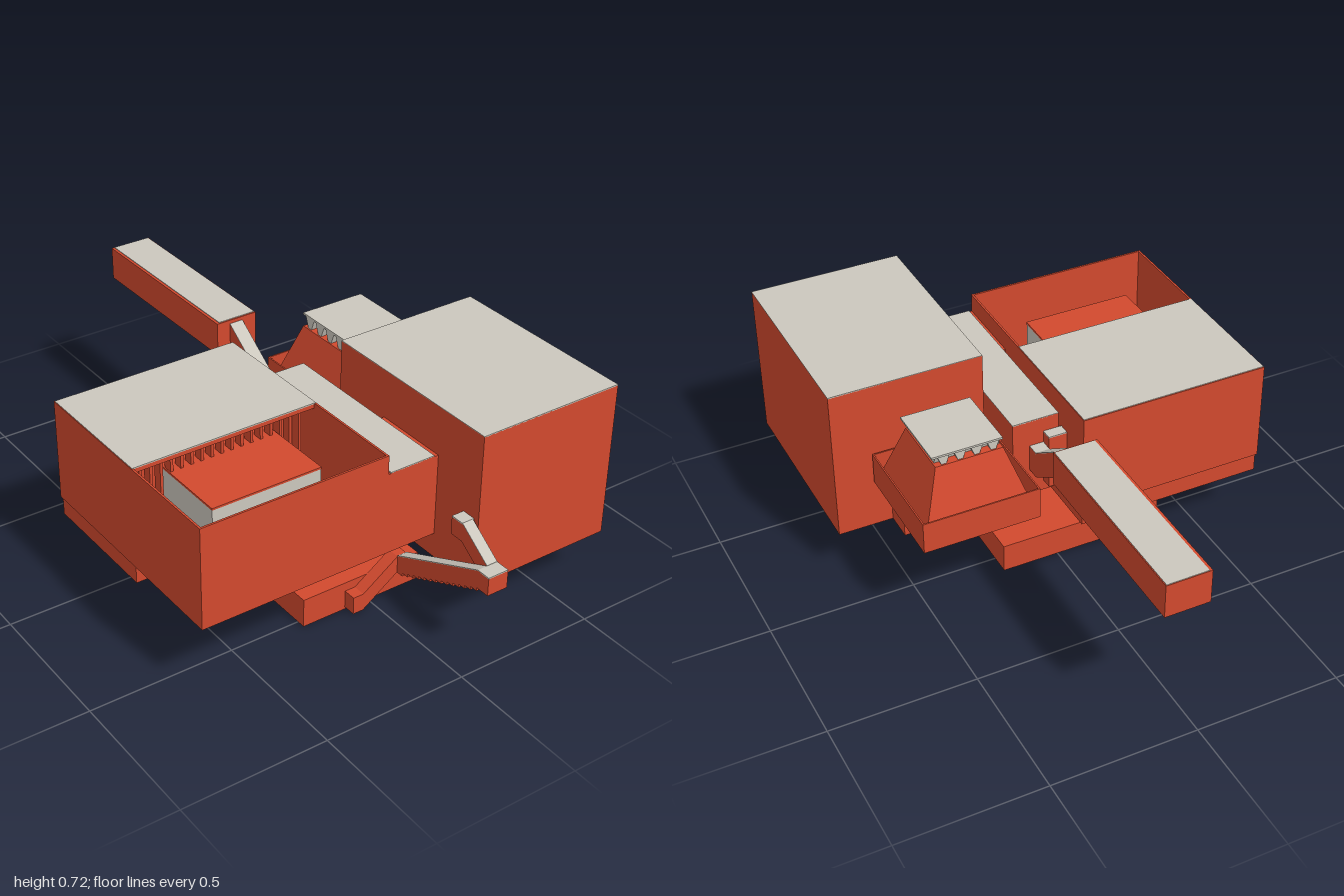
import * as THREE from 'three';

export function createModel() {
  const model = new THREE.Group();
  const red = new THREE.MeshStandardMaterial({ color: 0xd2492e });
  red.name = 'brick red';
  const grey = new THREE.MeshStandardMaterial({ color: 0xcbc7bd });
  grey.name = 'roof grey';
  const dark = new THREE.MeshStandardMaterial({ color: 0x6e2618 });
  dark.name = 'opening dark red';

  const add = (name, geo, mat) => {
    const mesh = new THREE.Mesh(geo, mat);
    mesh.name = name;
    model.add(mesh);
    return mesh;
  };
  // Box given by its limits along x, y and z
  const box = (name, mat, x0, x1, y0, y1, z0, z1) => {
    const geo = new THREE.BoxGeometry(x1 - x0, y1 - y0, z1 - z0);
    geo.translate((x0 + x1) / 2, (y0 + y1) / 2, (z0 + z1) / 2);
    return add(name, geo, mat);
  };
  const extrude = (pts, depth) => new THREE.ExtrudeGeometry(
    new THREE.Shape(pts.map(([a, b]) => new THREE.Vector2(a, b))), { depth, bevelEnabled: false });
  // Prism with a (z, y) outline, running from x0 to x1
  const prismX = (name, mat, x0, x1, pts) =>
    add(name, extrude(pts, x1 - x0).rotateY(-Math.PI / 2).translate(x1, 0, 0), mat);
  // Prism with an (x, y) outline, running from z0 to z1
  const prismZ = (name, mat, z0, z1, pts) =>
    add(name, extrude(pts, z1 - z0).translate(0, 0, z0), mat);
  // Thin grey roof sheet laid on a flat top at height y
  const roof = (name, x0, x1, y, z0, z1) => box(name, grey, x0, x1, y - 0.002, y + 0.002, z0, z1);
  // Sloping covered passage: red body under a grey sheet, ends are [z, bottom, top]
  const passage = (name, x0, x1, [za, ba, ta], [zb, bb, tb]) => {
    prismX(name, red, x0, x1, [[za, ba], [zb, bb], [zb, tb], [za, ta]]);
    prismX(name + 'Roof', grey, x0, x1, [[za, ta], [zb, tb], [zb, tb + 0.003], [za, ta + 0.003]]);
  };

  // Large hall
  box('largeHall', red, 0.16, 0.69, 0.175, 0.718, 0.15, 0.85);
  roof('largeHallRoof', 0.16, 0.69, 0.718, 0.15, 0.85);
  box('largeHallAnnex', red, 0.16, 0.5, 0.175, 0.356, 0.05, 0.15);

  // Courtyard hall: walls, floor and half roof
  box('courtFloor', red, -0.695, -0.03, 0.262, 0.3, -0.187, 0.648);
  box('courtLeftWall', red, -0.697, -0.69, 0.262, 0.618, -0.187, 0.65);
  box('courtRightWall', red, -0.037, -0.03, 0.262, 0.618, -0.187, 0.65);
  box('courtFrontWall', red, -0.697, -0.03, 0.262, 0.618, 0.643, 0.65);
  box('courtBackWall', red, -0.697, -0.03, 0.262, 0.618, -0.19, -0.183);
  box('courtInnerWall', red, -0.69, -0.037, 0.3, 0.61, 0.19, 0.2);
  box('courtRoofSlab', red, -0.697, -0.03, 0.6, 0.617, -0.187, 0.278);
  roof('courtRoof', -0.695, -0.032, 0.618, -0.187, 0.28);
  for (let i = 0; i < 17; i++) {
    const x = -0.66 + i * 0.036;
    box('courtColumn', red, x - 0.005, x + 0.005, 0.3, 0.602, 0.235, 0.268);
  }

  // Raised court pavilion with pale sides
  box('courtPavilion', grey, -0.56, -0.17, 0.3, 0.543, 0.2, 0.5);
  box('courtPavilionTop', red, -0.561, -0.169, 0.543, 0.55, 0.2, 0.501);

  // Understorey and its two little stairs
  box('understorey', red, -0.692, -0.03, 0.197, 0.262, -0.185, 0.27);
  for (const x of [-0.56, -0.22]) {
    for (let i = 0; i < 6; i++) {
      const y = 0.197 + i * 0.011;
      box('understoreyStep', red, x, x + 0.048, y, y + 0.011, 0.268, 0.284 + i * 0.012);
    }
  }

  // Central spine
  box('spine', red, -0.02, 0.145, 0.262, 0.553, -0.035, 0.65);
  box('spineFront', red, -0.03, 0.16, 0.262, 0.551, 0.38, 0.65);
  roof('spineRoof', -0.02, 0.145, 0.553, -0.035, 0.65);
  box('spineBackStep', red, -0.03, 0.035, 0.3, 0.498, -0.075, -0.035);
  roof('spineBackStepRoof', -0.03, 0.035, 0.498, -0.075, -0.035);
  box('sideLink', red, 0.14, 0.185, 0.36, 0.43, 0.02, 0.07);
  box('sideLink', red, 0.14, 0.165, 0.3, 0.45, 0.15, 0.2);
  box('spineFoot', red, -0.09, 0.145, 0.1, 0.264, 0.15, 0.43);

  // Entrance base
  box('base', red, -0.25, 0.2, 0, 0.102, -0.07, 0.53);
  box('baseUpper', red, -0.25, -0.09, 0.1, 0.138, -0.07, 0.15);
  roof('baseUpperRoof', -0.25, -0.09, 0.138, -0.07, 0.15);
  box('baseWing', red, -0.383, -0.25, 0, 0.113, -0.07, 0.12);
  roof('baseWingRoof', -0.38, -0.25, 0.113, -0.068, 0.118);
  box('baseDoor', dark, 0.198, 0.202, 0.012, 0.08, 0.338, 0.386);

  // Front stair: sideways ramp, then a flight with a stepped underside
  prismZ('sideRamp', red, 0.53, 0.575, [[-0.09, 0.008], [-0.052, 0.008], [0.08, 0.1],
    [0.115, 0.1], [0.115, 0.162], [0.08, 0.162], [-0.052, 0.07], [-0.09, 0.07]]);
  const steps = 14, flight = [];
  for (let i = 0; i < steps; i++) {
    const y = 0.1 + i * 0.17 / steps;
    flight.push([0.575 + i * 0.375 / steps, y], [0.575 + (i + 1) * 0.375 / steps, y]);
  }
  prismX('lowerFlight', red, 0.08, 0.115, [...flight, [0.95, 0.27], [0.95, 0.332], [0.575, 0.162]]);
  prismX('lowerFlightRoof', grey, 0.08, 0.115, [[0.575, 0.162], [0.95, 0.332], [0.95, 0.335], [0.575, 0.165]]);

  // Front landing and upper flight
  box('landing', red, 0.08, 0.155, 0.27, 0.333, 0.95, 1);
  roof('landingRoof', 0.08, 0.155, 0.333, 0.95, 1);
  passage('upperFlight', 0.115, 0.155, [0.83, 0.355, 0.418], [0.95, 0.27, 0.333]);
  box('upperLanding', red, 0.115, 0.165, 0.355, 0.418, 0.78, 0.83);
  roof('upperLandingRoof', 0.115, 0.165, 0.418, 0.78, 0.83);

  // Rear gallery and its ramp
  box('rearGallery', red, -0.015, 0.138, 0.51, 0.628, -1, -0.305);
  roof('rearGalleryRoof', -0.005, 0.135, 0.628, -0.998, -0.31);
  passage('rearRamp', 0.035, 0.085, [-0.305, 0.51, 0.612], [-0.08, 0.36, 0.455]);
  box('rearRampLanding', red, 0.035, 0.085, 0.36, 0.455, -0.08, -0.03);
  roof('rearRampLandingRoof', 0.035, 0.085, 0.455, -0.08, -0.035);

  // Lantern tray
  box('trayFloor', red, 0.16, 0.56, 0.355, 0.365, -0.263, 0.14);
  box('trayWall', red, 0.16, 0.165, 0.355, 0.467, -0.263, 0.14);
  box('trayWall', red, 0.555, 0.56, 0.355, 0.467, -0.263, 0.14);
  box('trayWall', red, 0.16, 0.56, 0.355, 0.467, -0.263, -0.258);
  box('trayWall', red, 0.16, 0.56, 0.355, 0.467, 0.135, 0.14);

  // Lantern: tapered hood, pale fins and a flat roof
  const cx = 0.36, cz = -0.062;
  const frustum = (bottom, top, y0, y1) => {
    const geo = new THREE.CylinderGeometry(top * Math.SQRT2, bottom * Math.SQRT2, y1 - y0, 4, 1).toNonIndexed();
    geo.rotateY(Math.PI / 4).translate(cx, (y0 + y1) / 2, cz);
    geo.computeVertexNormals();
    return geo;
  };
  add('lanternHood', frustum(0.195, 0.115, 0.362, 0.6), red);
  add('lanternGlazing', frustum(0.085, 0.095, 0.6, 0.638), grey);
  for (let side = 0; side < 4; side++) {
    for (let i = 0; i < 4; i++) {
      const t = -0.084 + i * 0.056;
      const fin = extrude([[t - 0.008, 0.598], [t + 0.008, 0.598], [t + 0.024, 0.64], [t - 0.024, 0.64]], 0.02);
      fin.translate(0, 0, 0.09).rotateY(side * Math.PI / 2).translate(cx, 0, cz);
      add('lanternFin', fin, grey);
    }
  }
  box('lanternRoof', grey, 0.25, 0.49, 0.638, 0.645, -0.185, 0.055);

  return model;
}
